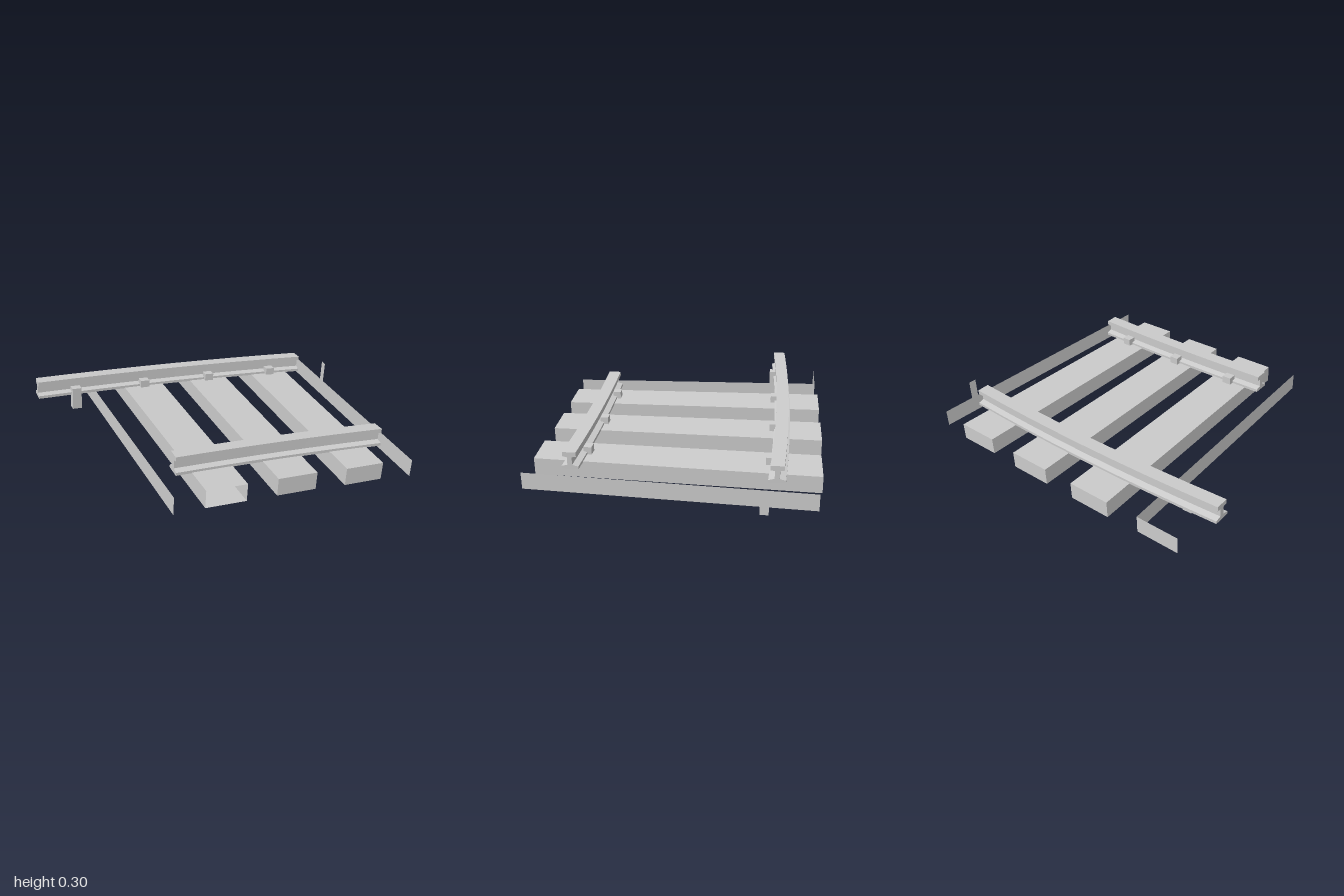
import * as THREE from 'three';

const material = new THREE.MeshStandardMaterial({
  color: 0xcccccc, flatShading: true, side: THREE.DoubleSide,
});

// Box face numbers, in BoxGeometry order
const RIGHT = 0, LEFT = 1, TOP = 2, BOTTOM = 3, BACK = 5;
const ALL = [0, 1, 2, 3, 4, 5];

// Sideways offset of the gently curving track at distance s along it
const bend = (s) => (s + 0.2) ** 2 / 27;
// Centre of sleeper i where it meets its far (outer) and near (inner) end
const farS = (i) => 0.011 + 0.404 * i;
const nearS = (i) => -0.014 + 0.364 * i;
const FAR = -0.678, NEAR = 0.778; // sleeper ends across the track
const sleeperS = (i, t) => THREE.MathUtils.mapLinear(t, FAR, NEAR, farS(i), nearS(i));

// Box that keeps only the listed faces
function boxFaces(w, h, d, faces) {
  const g = new THREE.BoxGeometry(w, h, d);
  const index = Array.from(g.index.array);
  g.setIndex(faces.flatMap((f) => index.slice(f * 6, f * 6 + 6)));
  g.clearGroups();
  return g;
}

function add(parent, name, geometry) {
  const mesh = new THREE.Mesh(geometry, material);
  mesh.name = name;
  parent.add(mesh);
  return mesh;
}

// Sleeper: a box fanned out to follow the curve, wider at the outer end
function sleeper(i, faces) {
  const g = boxFaces(1, 0.09, 1, faces);
  const p = g.attributes.position;
  const shift = bend((farS(i) + nearS(i)) / 2);
  for (let k = 0; k < p.count; k++) {
    const far = p.getZ(k) < 0;
    const s = far ? farS(i) : nearS(i);
    p.setXYZ(k, s + p.getX(k) * (far ? 0.231 : 0.207), p.getY(k) - 0.045, (far ? FAR : NEAR) + shift);
  }
  g.computeVertexNormals();
  return g;
}

// Rail: I-section swept along the curve
function rail(start, end, t0) {
  const half = [[0.043, -0.003], [0.043, 0.012], [0.012, 0.02], [0.012, 0.062], [0.034, 0.066], [0.034, 0.089]];
  const outline = [...half, ...half.map(([x, y]) => [-x, y]).reverse()];
  const shape = new THREE.Shape(outline.map(([x, y]) => new THREE.Vector2(x, y)));
  const g = new THREE.ExtrudeGeometry(shape, { depth: end - start, steps: 8, bevelEnabled: false });
  g.rotateY(Math.PI / 2).translate(start, 0, 0);
  const p = g.attributes.position;
  for (let k = 0; k < p.count; k++) p.setZ(k, p.getZ(k) + t0 + bend(p.getX(k)));
  g.computeVertexNormals();
  return g;
}

export function createModel() {
  const model = new THREE.Group();
  model.name = 'trackSection';

  // Track frame: x runs along the track downhill, z across it, y = 0 on the sleeper tops
  const track = new THREE.Group();
  track.name = 'track';
  track.rotation.set(0, -0.4645, -0.0714, 'YXZ');
  track.position.y = 0.143;
  model.add(track);

  // Three sleepers (the first open at its inner end) and the leftover boards at both ends
  const sleepers = [
    [-2, 'upperEndBoard', [RIGHT, BACK]],
    [-1, 'sleeper', [RIGHT, LEFT, TOP, BOTTOM, BACK]],
    [0, 'sleeper', ALL],
    [1, 'sleeper', ALL],
    [2, 'lowerEndBoard', [LEFT]],
  ];
  for (const [i, name, faces] of sleepers) add(track, name, sleeper(i, faces));

  // Rails
  add(track, 'outerRail', rail(-0.993, 0.606, -0.466));
  add(track, 'innerRail', rail(-0.564, 0.547, 0.559));

  // Rail clips, driven down into the sleepers
  const clip = (i, t0, faces = ALL) => {
    const s = sleeperS(i, t0);
    const mesh = add(track, 'railClip', boxFaces(0.05, 0.12, 0.043, faces));
    mesh.position.set(s, -0.02, t0 + bend(s));
    mesh.rotation.y = Math.atan2(nearS(i) - farS(i), NEAR - FAR);
  };
  for (const i of [-2, -1, 0, 1]) clip(i, -0.421);
  clip(2, -0.421, [LEFT]);
  for (const i of [-1, 0, 1]) clip(i, 0.514);

  return model;
}
